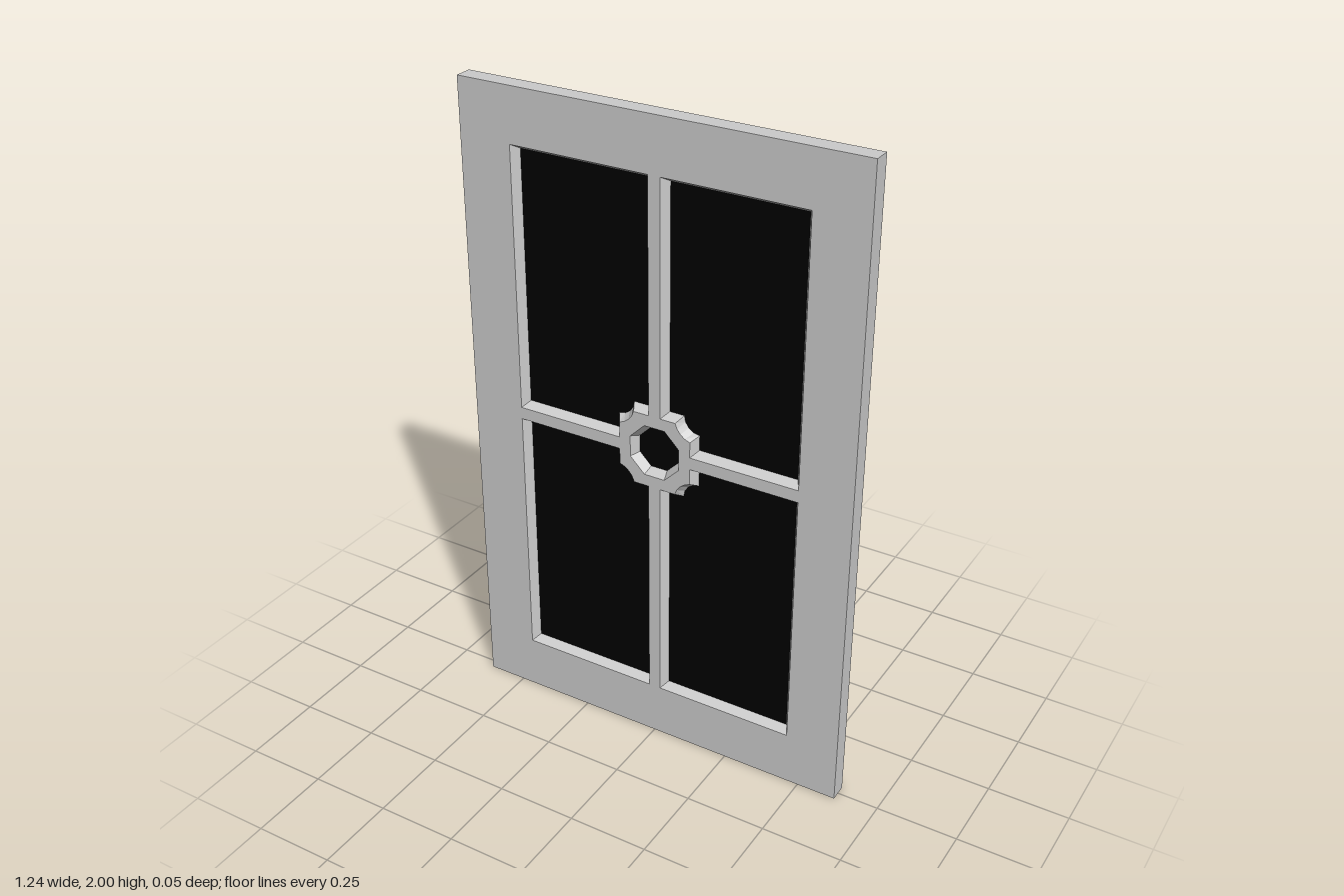
import * as THREE from 'three';

const HALF_W = 0.622, HEIGHT = 2, CY = 1.002; // outer size, centre of the glazing
const FRONT = 0.0275, PANE = 0, BACK = -0.0275; // depth levels
const OPEN_W = 0.457, OPEN_H = 0.832, BEVEL = 0.016;

const grey = new THREE.MeshStandardMaterial({ color: 0xcccccc, flatShading: true });
const black = new THREE.MeshStandardMaterial({ color: 0x000000 });

const rect = (w, y0, y1) =>
  [[-w, y0], [w, y0], [w, y1], [-w, y1]].map(([x, y]) => new THREE.Vector2(x, y));

// Anticlockwise outline of one window opening, shrunk by b, with the rosette cut out of its inner corner
function openingOutline(sx, sy, b) {
  const bar = 0.019 + b, w = OPEN_W - b, h = OPEN_H - b;
  const lobe = 0.116 + b, c = 0.132, r = 0.066 - b;
  const a = Math.asin((c - lobe) / r), steps = 4;
  const pts = [[w, bar], [w, h], [bar, h], [bar, lobe]];
  for (let i = 0; i <= steps; i++) {
    const t = a + (Math.PI / 2 - 2 * a) * i / steps;
    pts.push([c - r * Math.cos(t), c - r * Math.sin(t)]);
  }
  pts.push([lobe, bar]);
  if (sx * sy < 0) pts.reverse();
  return pts.map(([x, y]) => new THREE.Vector2(sx * x, CY + sy * y));
}

// Octagonal eye of the rosette, sized by its flats
function eyeOutline(b) {
  const r = (0.08 - b) / Math.cos(Math.PI / 8);
  return Array.from({ length: 8 }, (_, i) => {
    const t = (i + 0.5) * Math.PI / 4;
    return new THREE.Vector2(r * Math.cos(t), CY + r * Math.sin(t));
  });
}

// Wall joining a front loop to a rear loop; anticlockwise loops face inwards
function wall(front, zFront, rear, zRear) {
  const pos = [];
  front.forEach((f, i) => {
    const j = (i + 1) % front.length, g = front[j], p = rear[i], q = rear[j];
    pos.push(f.x, f.y, zFront, g.x, g.y, zFront, q.x, q.y, zRear);
    pos.push(f.x, f.y, zFront, q.x, q.y, zRear, p.x, p.y, zRear);
  });
  const geo = new THREE.BufferGeometry();
  geo.setAttribute('position', new THREE.Float32BufferAttribute(pos, 3));
  geo.computeVertexNormals();
  return geo;
}

// Flat face with holes
function face(outline, holes, z) {
  const shape = new THREE.Shape(outline);
  holes.forEach(h => shape.holes.push(new THREE.Path(h)));
  return new THREE.ShapeGeometry(shape).translate(0, 0, z);
}

export function createModel() {
  const group = new THREE.Group();
  const add = (name, geo, mat = grey) => {
    const mesh = new THREE.Mesh(geo, mat);
    mesh.name = name;
    group.add(mesh);
    return mesh;
  };
  const outer = rect(HALF_W, 0, HEIGHT);

  // Openings as [front loop, loop at the pane]
  const openings = [[1, 1], [-1, 1], [-1, -1], [1, -1]].map(([sx, sy]) =>
    [openingOutline(sx, sy, 0), openingOutline(sx, sy, BEVEL)]);
  openings.push([eyeOutline(0), eyeOutline(BEVEL)]);

  // Frame, glazing bars and rosette share one front face
  add('frontFace', face(outer, openings.map(o => o[0]), FRONT));
  openings.forEach(([front, rear], i) =>
    add(i < 4 ? 'openingBevel' + (i + 1) : 'rosetteEyeBevel', wall(front, FRONT, rear, PANE)));

  // Outer edge of the frame
  const reversed = outer.slice().reverse();
  add('frameEdge', wall(reversed, FRONT, reversed, BACK));

  // Back of the frame, turned to face the rear
  const back = add('frameBack', face(outer, [rect(OPEN_W, CY - OPEN_H, CY + OPEN_H)], -BACK));
  back.rotation.y = Math.PI;

  // Dark pane, flush with the back
  add('pane', new THREE.BoxGeometry(2 * OPEN_W, 2 * OPEN_H, PANE - BACK)
    .translate(0, CY, (PANE + BACK) / 2), black);

  return group;
}
